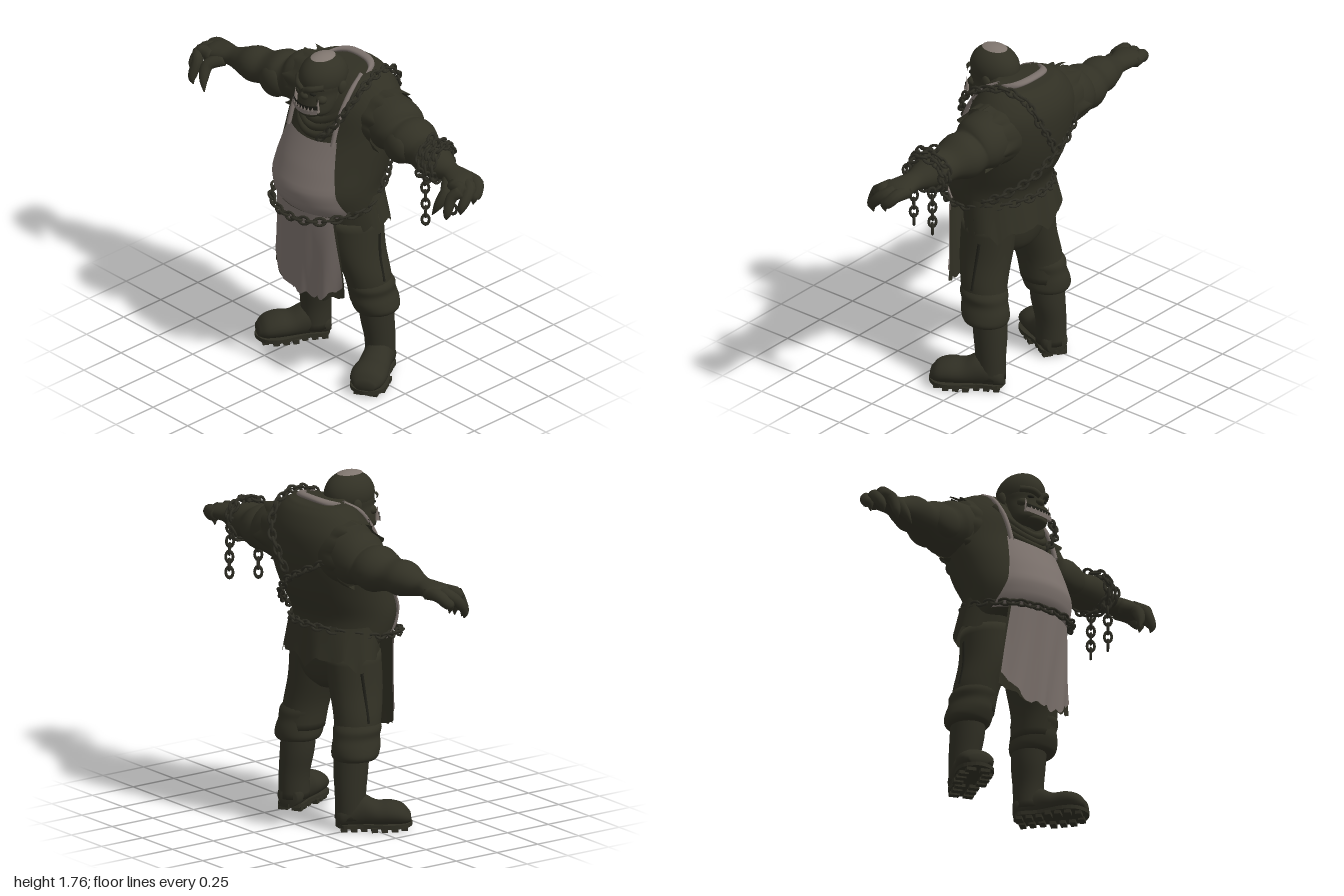
import * as THREE from 'three';

const V = (x, y, z) => new THREE.Vector3(x, y, z);
const paint = (name, color, side = THREE.FrontSide) => {
  const m = new THREE.MeshStandardMaterial({ color, side });
  m.name = name;
  return m;
};

// Torso sections: height, centre z, half width, half depth
const TORSO = [[0.9, 0, 0.25, 0.15], [0.95, 0.04, 0.265, 0.21], [1.0, 0.05, 0.275, 0.235], [1.08, 0.05, 0.285, 0.245], [1.2, -0.005, 0.3, 0.25],
  [1.35, -0.063, 0.32, 0.232], [1.5, -0.088, 0.31, 0.215], [1.6, -0.1, 0.24, 0.165], [1.645, -0.105, 0.17, 0.11]];

function torsoAt(y) {
  let i = 0;
  while (i < TORSO.length - 2 && y > TORSO[i + 1][0]) i++;
  const a = TORSO[i], b = TORSO[i + 1], t = THREE.MathUtils.clamp((y - a[0]) / (b[0] - a[0]), 0, 1);
  return a.map((n, k) => n + (b[k] - n) * t);
}

// Smooth closed skin through elliptical rings [x, y, z, ra, rb]; axis fixes the ring plane
function loft(rows, axis = null, sides = 24) {
  const centres = new THREE.CatmullRomCurve3(rows.map(r => V(r[0], r[1], r[2])), false, 'catmullrom', 0.5);
  const radii = new THREE.CatmullRomCurve3(rows.map(r => V(r[3], r[4], 0)), false, 'catmullrom', 0.5);
  const n = (rows.length - 1) * 4, pos = [], idx = [];
  for (let k = -1; k <= n + 1; k++) {
    const t = THREE.MathUtils.clamp(k / n, 0, 1), cap = k < 0 || k > n;
    const c = centres.getPoint(t), r = radii.getPoint(t);
    const dir = axis || centres.getTangent(t);
    const u = V(0, 0, 1).cross(dir).normalize(), v = dir.clone().cross(u);
    for (let j = 0; j < sides; j++) {
      const a = j / sides * Math.PI * 2;
      const p = c.clone();
      if (!cap) p.addScaledVector(u, Math.cos(a) * r.x).addScaledVector(v, Math.sin(a) * r.y);
      pos.push(p.x, p.y, p.z);
      if (k > n) continue;
      const i = (k + 1) * sides, q = (j + 1) % sides;
      idx.push(i + j, i + q, i + sides + j, i + q, i + sides + q, i + sides + j);
    }
  }
  const g = new THREE.BufferGeometry();
  g.setAttribute('position', new THREE.Float32BufferAttribute(pos, 3));
  g.setIndex(idx);
  g.computeVertexNormals();
  return g;
}

// Thin cloth surface from a rule (u, v) -> point
function sheet(rule, nu = 32, nv = 16) {
  const g = new THREE.PlaneGeometry(1, 1, nu, nv), p = g.attributes.position;
  for (let i = 0; i < p.count; i++) {
    const q = rule(p.getX(i) + 0.5, p.getY(i) + 0.5);
    p.setXYZ(i, q.x, q.y, q.z);
  }
  g.computeVertexNormals();
  return g;
}

// Ragged edge, 0 to 1
const jag = (u, n) => Math.abs(((u * n) % 1) * 2 - 1) * (0.6 + 0.4 * Math.sin(u * 37));

export function createModel() {
  const skin = paint('skin', 0x323125), cloth = paint('cloth', 0x313024, THREE.DoubleSide);
  const leather = paint('boot leather', 0x302f24), metal = paint('chain iron', 0x2e2d24);
  const apronMat = paint('apron', 0x7a706b, THREE.DoubleSide), bone = paint('bone', 0x80766f);
  const dark = paint('shadow black', 0x1f1f18, THREE.DoubleSide);
  const model = new THREE.Group();
  const add = (name, geo, mat, parent = model) => {
    const m = new THREE.Mesh(geo, mat);
    m.name = name;
    parent.add(m);
    return m;
  };
  // Ellipsoid, or only its top cap when an angle is given
  const ball = (name, mat, p, s, cap = Math.PI) => {
    const m = add(name, new THREE.SphereGeometry(1, 24, 16, 0, Math.PI * 2, 0, cap), mat);
    m.position.set(...p);
    m.scale.set(...s);
  };
  const curve = (pts, closed = false) => new THREE.CatmullRomCurve3(pts.map(p => V(...p)), closed);
  const tube = (name, pts, r, mat) => add(name, new THREE.TubeGeometry(curve(pts), 40, r, 8), mat);
  const Y = V(0, 1, 0), X = V(1, 0, 0);

  // Torso, hips and ragged tunic tail
  add('torso', loft(TORSO.map(([y, z, rx, rz]) => [0, y, z, rx, rz]), Y, 40), cloth);
  add('hips', loft([[0, 0.68, -0.02, 0.07, 0.07], [0, 0.73, -0.015, 0.17, 0.125], [0, 0.83, -0.01, 0.245, 0.155], [0, 0.95, 0, 0.25, 0.165]], Y), cloth);
  add('tunicTail', sheet((u, v) => {
    const a = u * Math.PI * 2, d = 1 - v;
    const rx = 0.272 + 0.025 * d, rz = 0.195 + 0.006 * Math.sin(a * 9) * d;
    return V(Math.cos(a) * rx, 1.03 - d * (0.155 + 0.065 * jag(u, 11)), -0.03 * d + Math.sin(a) * rz);
  }, 110, 6), cloth);

  // Head: jaw and face, rounded skull, pale crown patch
  add('face', loft([[0, 1.455, 0.14, 0.045, 0.045], [0, 1.48, 0.14, 0.092, 0.085], [0, 1.53, 0.12, 0.102, 0.102], [0, 1.58, 0.1, 0.1, 0.115],
    [0, 1.62, 0.09, 0.104, 0.128], [0, 1.67, 0.088, 0.095, 0.12]], Y), skin);
  add('neck', loft([[0, 1.38, -0.01, 0.19, 0.15], [0, 1.5, 0.02, 0.14, 0.13], [0, 1.6, 0.04, 0.1, 0.09]], Y), skin);
  ball('skull', skin, [0, 1.645, 0.085], [0.109, 0.114, 0.135]);
  ball('crownPatch', bone, [0, 1.645, 0.087], [0.1095, 0.1155, 0.145], 0.5);
  ball('nose', skin, [0, 1.572, 0.212], [0.026, 0.02, 0.022]);
  ball('chin', skin, [0, 1.478, 0.185], [0.065, 0.025, 0.045]);
  for (const s of [-1, 1]) {
    tube('brow', [[s * 0.005, 1.605, 0.217], [s * 0.045, 1.622, 0.21], [s * 0.09, 1.632, 0.165]], 0.017, skin);
    ball('eye', dark, [s * 0.042, 1.592, 0.196], [0.022, 0.01, 0.014]);
    ball('cheek', skin, [s * 0.07, 1.56, 0.165], [0.03, 0.025, 0.03]);
    ball('ear', skin, [s * 0.107, 1.6, 0.055], [0.016, 0.038, 0.028]);
    const tusk = add('tusk', new THREE.ConeGeometry(0.013, 0.075, 8), bone);
    tusk.position.set(s * 0.08, 1.54, 0.197);
    tusk.rotation.z = -s * 0.1;
  }

  // Mouth: black gap, pale lower jaw plate and teeth
  const mouth = (lo, hi, off) => sheet((u, v) => {
    const x = (u - 0.5) * 0.176;
    return V(x, lo + (hi - lo) * v + 1.6 * x * x, 0.23 + off - 3.4 * x * x);
  }, 16, 2);
  add('mouthGap', mouth(1.505, 1.53, 0.002), dark);
  add('jawPlate', mouth(1.485, 1.509, 0.007), apronMat);
  for (let i = -3; i <= 3; i++) {
    const x = i * 0.021;
    const tooth = add('tooth', new THREE.ConeGeometry(0.008, 0.02, 6), bone);
    tooth.position.set(x, 1.515 + 1.6 * x * x, 0.231 - 3.4 * x * x);
  }

  // Folded collar below the chin
  for (let i = 0; i < 3; i++)
    tube('collarFold', [[-0.17, 1.54 - i * 0.04, 0.06], [-0.1, 1.45 - i * 0.04, 0.125 + i * 0.01], [0, 1.415 - i * 0.035, 0.15 + i * 0.012],
      [0.1, 1.45 - i * 0.04, 0.125 + i * 0.01], [0.17, 1.54 - i * 0.04, 0.06]], 0.02, cloth);

  // Apron: bib over the belly, skirt with frayed hem, neck strap
  add('apronBib', sheet((u, v) => {
    const y = 0.945 + v * (0.385 + 0.08 * (u - 0.5) ** 2), [, cz, rx, rz] = torsoAt(y);
    const x = (u - 0.5) * 2 * THREE.MathUtils.lerp(0.25, 0.172, Math.max(0, v - 0.1) / 0.9);
    return V(x, y, cz + 0.022 + rz * Math.sqrt(1 - (x / rx) ** 2));
  }), apronMat);
  const apronSkirt = (grow, back, length, cornerCut) => sheet((u, v) => {
    const d = 1 - v, x = (u - 0.5) * 2 * (0.2 + 0.045 * d + grow);
    const hem = length - cornerCut * Math.max(0, Math.abs(x) - 0.12) - 0.025 * jag(u, 7);
    const fold = 0.01 * Math.sin(x * 40 + d * 2) * d;
    return V(x, 0.955 - d * hem, 0.275 - 0.042 * d + fold - back - (1.6 - 0.9 * d) * x * x);
  }, 56, 16);
  add('apronSkirt', apronSkirt(0, 0, 0.5, 0.85), apronMat);
  add('apronFray', apronSkirt(0.006, 0.008, 0.498, 0.35), cloth);
  for (const s of [-1, 1])
    tube('frontStrap', [[0.158, 1.33, 0.172], [0.157, 1.42, 0.145], [0.155, 1.5, 0.108], [0.15, 1.59, 0.04], [0.13, 1.645, -0.05]].map(([x, y, z]) => [s * x, y, z]), 0.012, apronMat);
  add('neckStrap', loft([[-0.14, 1.642, -0.09, 0.014, 0.02], [-0.11, 1.655, -0.135, 0.014, 0.022], [-0.05, 1.664, -0.16, 0.014, 0.022],
    [0.05, 1.664, -0.16, 0.014, 0.022], [0.11, 1.655, -0.135, 0.014, 0.022], [0.14, 1.642, -0.09, 0.014, 0.02]], X), apronMat);

  for (const s of [-1, 1]) {
    const side = rows => rows.map(([x, ...r]) => [s * x, ...r]);

    // Arm, torn sleeve and hand
    add('arm', loft(side([[0.2, 1.45, -0.1, 0.12, 0.14], [0.33, 1.415, -0.1, 0.14, 0.145], [0.4, 1.395, -0.09, 0.108, 0.125],
      [0.47, 1.39, -0.085, 0.116, 0.13], [0.56, 1.382, -0.07, 0.084, 0.1], [0.64, 1.378, -0.055, 0.09, 0.1], [0.71, 1.37, -0.048, 0.068, 0.078],
      [0.78, 1.365, -0.04, 0.048, 0.055], [0.84, 1.365, -0.035, 0.043, 0.068], [0.9, 1.362, -0.03, 0.038, 0.08], [0.95, 1.35, -0.025, 0.02, 0.06]])), skin);
    ball('bicep', skin, [s * 0.45, 1.38, 0], [0.09, 0.08, 0.055]);
    add('sleeve', sheet((u, v) => {
      const a = u * Math.PI * 2, r = 0.16 - 0.012 * v + 0.015 * v * jag(u, 11);
      return V(s * (0.2 + v * (0.09 + 0.06 * jag(u, 11))), 1.425 + Math.cos(a) * r * 1.04, -0.095 + Math.sin(a) * r);
    }, 88, 6), cloth);
    for (const [z, tipX, tipY, tipZ] of [[-0.08, 0.99, 1.28, -0.02], [-0.03, 0.985, 1.25, 0.06], [0.025, 0.935, 1.22, 0.11]])
      add('finger', loft(side([[0.87, 1.358, z, 0.032, 0.034], [0.945, 1.36, z + 0.01, 0.031, 0.033],
        [tipX - 0.015, 1.325, (z + tipZ) / 2 + 0.01, 0.028, 0.029], [tipX - 0.012, tipY + 0.03, tipZ, 0.021, 0.022], [tipX - 0.02, tipY - 0.01, tipZ, 0.003, 0.003]]), null, 10), skin);
    add('thumb', loft(side([[0.81, 1.35, 0, 0.032, 0.032], [0.86, 1.325, 0.06, 0.031, 0.031], [0.85, 1.265, 0.1, 0.024, 0.024], [0.825, 1.205, 0.12, 0.003, 0.003]]), null, 10), skin);

    // Trouser leg and bulging cuff
    add('trouserLeg', loft(side([[0.215, 0.42, -0.04, 0.1, 0.115], [0.21, 0.55, -0.02, 0.108, 0.122], [0.17, 0.7, 0, 0.117, 0.14], [0.135, 0.88, 0, 0.135, 0.15]]), Y), cloth);
    add('trouserCuff', loft(side([[0.228, 0.36, -0.058, 0.08, 0.088], [0.234, 0.362, -0.056, 0.102, 0.108], [0.235, 0.385, -0.053, 0.115, 0.12], [0.232, 0.425, -0.045, 0.11, 0.127],
      [0.226, 0.47, -0.038, 0.102, 0.123], [0.222, 0.51, -0.03, 0.11, 0.126], [0.214, 0.545, -0.023, 0.1, 0.114]]), Y), cloth);
    tube('thighSeam', [[s * 0.272, 0.8, -0.04], [s * 0.286, 0.68, -0.03], [s * 0.315, 0.55, -0.03]], 0.008, dark);

    // Boot: shaft, splayed foot, sole and treads
    add('bootShaft', loft(side([[0.232, 0.06, -0.08, 0.073, 0.08], [0.232, 0.18, -0.08, 0.073, 0.08], [0.222, 0.3, -0.07, 0.083, 0.088], [0.22, 0.42, -0.06, 0.085, 0.09]]), Y), leather);
    const foot = new THREE.Group();
    foot.name = 'bootFoot';
    foot.position.set(s * 0.24, 0, -0.075);
    foot.rotation.y = s > 0 ? -1.03 : 1.03 - Math.PI;
    model.add(foot);
    add('upper', loft([[-0.08, 0.065, 0, 0.045, 0.045], [-0.05, 0.075, 0, 0.062, 0.068], [0.04, 0.098, 0, 0.085, 0.073], [0.12, 0.082, 0, 0.064, 0.082],
      [0.19, 0.082, 0, 0.062, 0.092], [0.25, 0.073, 0, 0.052, 0.083], [0.288, 0.058, 0, 0.025, 0.05]], X), leather, foot);
    const outline = new THREE.Shape(new THREE.SplineCurve([[-0.083, 0], [-0.05, 0.066], [0.05, 0.066], [0.18, 0.094], [0.26, 0.075], [0.298, 0],
      [0.26, -0.075], [0.18, -0.094], [0.05, -0.066], [-0.05, -0.066], [-0.083, 0]].map(p => new THREE.Vector2(...p))).getPoints(40));
    const sole = new THREE.ExtrudeGeometry(outline, { depth: 0.02, bevelEnabled: false }).rotateX(-Math.PI / 2);
    add('sole', sole, leather, foot).position.y = 0.018;
    for (let i = 0; i < 7; i++)
      for (const e of [-1, 1]) {
        const tread = add('tread', new THREE.BoxGeometry(0.03, 0.024, 0.05), leather, foot);
        tread.position.set(-0.045 + i * 0.05, 0.012, e * (i > 2 && i < 6 ? 0.06 : 0.036));
      }
  }

  // Chains: oval links turned alternately along a curve
  const link = new THREE.TorusGeometry(0.0185, 0.007, 6, 12).scale(1.45, 1, 1);
  const chain = (name, pts, closed) => {
    const path = curve(pts, closed), n = Math.round(path.getLength() / 0.042), g = new THREE.Group();
    g.name = name;
    for (let i = 0; i < n; i++) {
      const m = add('link', link, metal, g);
      m.position.copy(path.getPointAt(i / n));
      m.quaternion.setFromUnitVectors(X, path.getTangentAt(i / n));
      m.rotateX(Math.PI / 4 + (i % 2) * Math.PI / 2);
    }
    model.add(g);
  };
  const belt = [], wrist = [];
  for (let i = 0; i < 16; i++) {
    const a = i / 16 * Math.PI * 2, f = Math.sin(a), y = 0.98 - 0.045 * f, [, cz, rx, rz] = torsoAt(y);
    belt.push([Math.cos(a) * (rx - 0.002), y, cz + f * (rz + (f > 0 ? 0.105 : 0.012))]);
  }
  chain('beltChain', belt, true);
  chain('shoulderChain', [[0.09, 1.36, 0.185], [0.17, 1.46, 0.155], [0.21, 1.56, 0.1], [0.21, 1.63, 0], [0.18, 1.655, -0.15], [0.15, 1.6, -0.255],
    [0.12, 1.5, -0.305], [0.05, 1.39, -0.31], [0, 1.29, -0.295]]);
  chain('backChain', [[-0.3, 1.44, -0.18], [-0.22, 1.39, -0.245], [-0.11, 1.33, -0.285], [0, 1.27, -0.29], [0.12, 1.17, -0.245], [0.22, 1.08, -0.14], [0.27, 1.0, 0]]);
  for (let i = 0; i <= 24; i++) {
    const a = i / 10 * Math.PI * 2;
    wrist.push([0.635 + 0.0038 * i + 0.015 * Math.sin(a), 1.382 + Math.cos(a) * (0.108 - 0.001 * i), -0.052 + Math.sin(a) * (0.114 - 0.001 * i)]);
  }
  chain('wristChain', wrist);
  chain('hangingChain', [[0.68, 1.31, 0.035], [0.685, 1.2, 0.035], [0.685, 1.04, 0.035]]);
  chain('hangingChain', [[0.72, 1.3, -0.11], [0.722, 1.2, -0.115], [0.722, 1.06, -0.115]]);
  return model;
}
